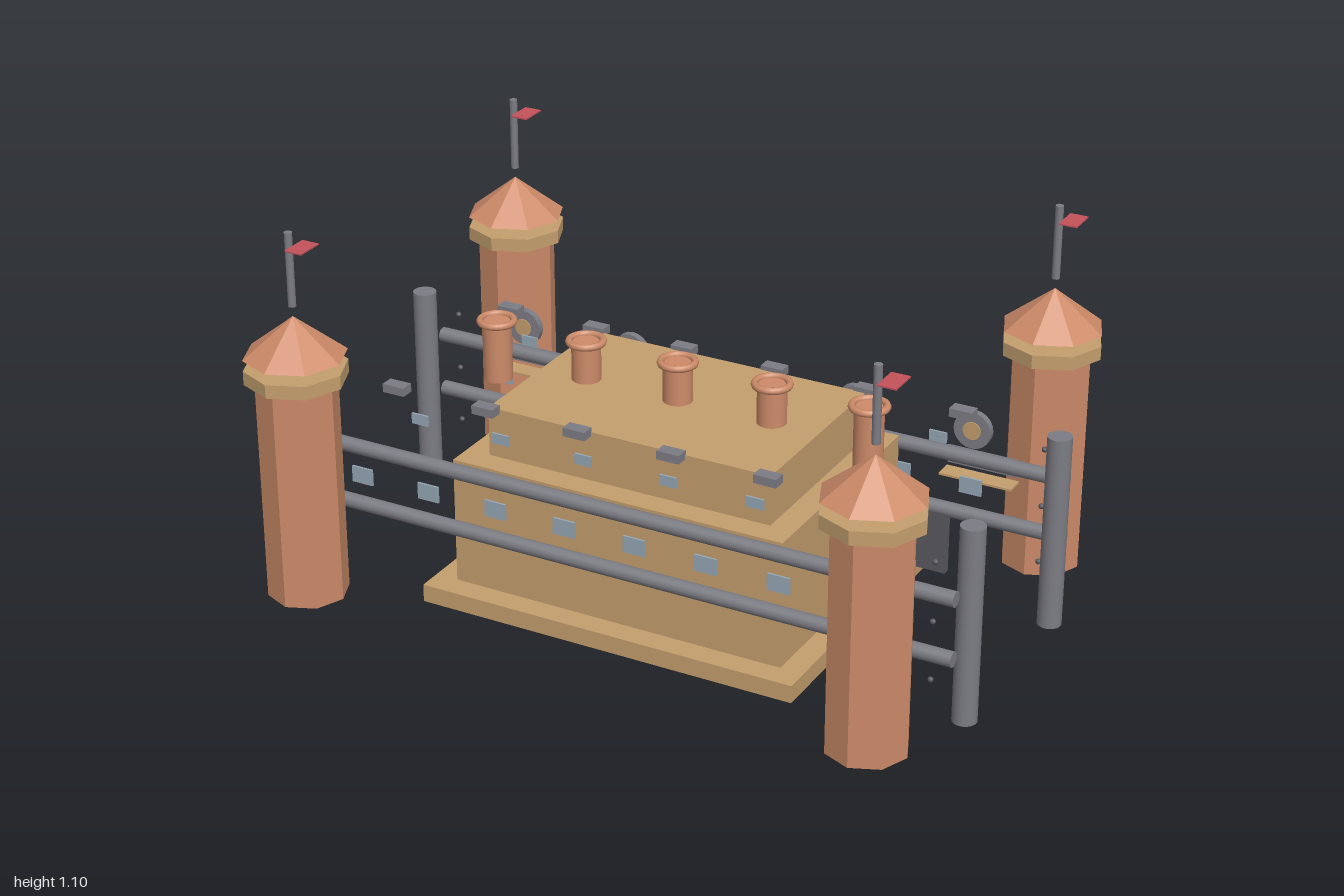
import * as THREE from 'three';

export function createModel() {
  const root = new THREE.Group();
  const mat = (color, flatShading = false) => new THREE.MeshStandardMaterial({ color, flatShading });
  const sand = mat(0xc49f6e), clay = mat(0xcd8b69), clayFlat = mat(0xcd8b69, true), sandFlat = mat(0xc49f6e, true);
  const steel = mat(0x7c7c84), dark = mat(0x58585f), glass = mat(0x95a7b5), red = mat(0xc4525a);

  function add(name, geometry, material, x, y, z, parent = root) {
    const mesh = new THREE.Mesh(geometry, material);
    mesh.name = name;
    mesh.position.set(x, y, z);
    parent.add(mesh);
    return mesh;
  }
  // Box and upright cylinder given by their bottom and top heights
  const box = (name, m, x, z, y0, y1, w, d, parent) =>
    add(name, new THREE.BoxGeometry(w, y1 - y0, d), m, x, (y0 + y1) / 2, z, parent);
  const post = (name, m, x, z, y0, y1, r, sides = 16, rTop = r, parent = root) =>
    add(name, new THREE.CylinderGeometry(rTop, r, y1 - y0, sides), m, x, (y0 + y1) / 2, z, parent);

  // Stepped central building
  box('baseSlab', sand, 0, 0, 0.04, 0.09, 1.1, 0.825);
  box('mainHall', sand, 0, 0, 0.09, 0.45, 0.97, 0.69);
  box('upperHall', sand, 0, 0, 0.45, 0.59, 0.83, 0.55);

  // Chimneys along the ridge
  for (let i = -2; i <= 2; i++) {
    const x = i * 0.277;
    post('chimney', clay, x, 0, 0.53, 0.7, 0.04, 20);
    add('chimneyRim', new THREE.TorusGeometry(0.046, 0.01, 8, 24), clay, x, 0.7, 0).rotation.x = Math.PI / 2;
  }

  // Four octagonal corner towers with floating roofs and flags
  for (const sx of [-1, 1]) for (const sz of [-1, 1]) {
    const tower = new THREE.Group();
    tower.name = 'cornerTower';
    tower.position.set(sx * 0.825, 0, sz * 0.55);
    root.add(tower);
    post('towerShaft', clayFlat, 0, 0, 0.07, 0.695, 0.11, 8, 0.11, tower);
    post('towerBand', sandFlat, 0, 0, 0.695, 0.733, 0.138, 8, 0.138, tower);
    post('towerRoof', clayFlat, 0, 0, 0.763, 0.872, 0.138, 8, 0, tower);
    post('flagPole', steel, 0, 0, 0.9, 1.105, 0.011, 10, 0.011, tower);
    box('flag', red, 0.04, 0, 1.068, 1.072, 0.05, 0.08, tower);
  }

  for (const sz of [-1, 1]) {
    // End pillars and long rails
    for (const sx of [-1, 1]) {
      post('endPillar', steel, sx * 0.967, sz * 0.277, 0.04, 0.592, 0.033, 20);
      for (const y of [0.175, 0.34, 0.507])
        add('stud', new THREE.SphereGeometry(0.008, 8, 6), dark, sx * 0.9, y, sz * 0.346);
    }
    for (const y of [0.257, 0.426])
      add('rail', new THREE.CylinderGeometry(0.021, 0.021, 1.93, 16), steel, 0, y, sz * 0.36).rotation.z = Math.PI / 2;

    // Battlement blocks and the two rows of windows
    for (let i = 0; i < 6; i++) {
      box('battlement', steel, -0.69 + i * 0.276, sz * 0.29, 0.578, 0.602, 0.065, 0.038);
      box('upperWindow', glass, -0.625 + i * 0.25, sz * 0.283, 0.493, 0.523, 0.05, 0.006);
    }
    for (let i = 0; i < 8; i++)
      box('lowerWindow', glass, -0.765 + i * 0.208, sz * 0.36, 0.318, 0.365, 0.064, 0.006);
  }

  // Wheels with sand-coloured hubs across the back
  for (const x of [-0.69, -0.345, 0.345, 0.69]) {
    const ring = new THREE.CylinderGeometry(0.053, 0.053, 0.02, 20).rotateX(Math.PI / 2);
    const hub = new THREE.CylinderGeometry(0.026, 0.026, 0.026, 16).rotateX(Math.PI / 2);
    add('wheel', ring, steel, x, 0.508, -0.365);
    add('wheelHub', hub, sand, x, 0.508, -0.365);
  }

  // Back doors, and shelves with their signboards
  box('centreDoor', dark, 0, -0.352, 0.1, 0.33, 0.42, 0.022);
  for (const sx of [-1, 1]) {
    box('sideDoor', dark, sx * 0.545, -0.352, 0.07, 0.262, 0.18, 0.022);
    box('shelf', sand, sx * 0.69, -0.417, 0.337, 0.343, 0.21, 0.055);
    box('shelfBoard', steel, sx * 0.69, -0.438, 0.357, 0.408, 0.2, 0.006);
  }

  // Bollards standing behind
  for (const x of [-0.277, 0, 0.277]) {
    post('bollardPost', steel, x, -0.62, 0.05, 0.28, 0.02);
    post('bollardCap', steel, x, -0.62, 0.27, 0.355, 0.033);
  }

  // Grille under the back edge
  box('grille', dark, 0, -0.352, 0.012, 0.04, 0.41, 0.025);
  for (let i = -3; i <= 3; i++)
    add('grilleStud', new THREE.SphereGeometry(0.008, 8, 6), dark, i * 0.058, 0.011, -0.352);

  return root;
}
